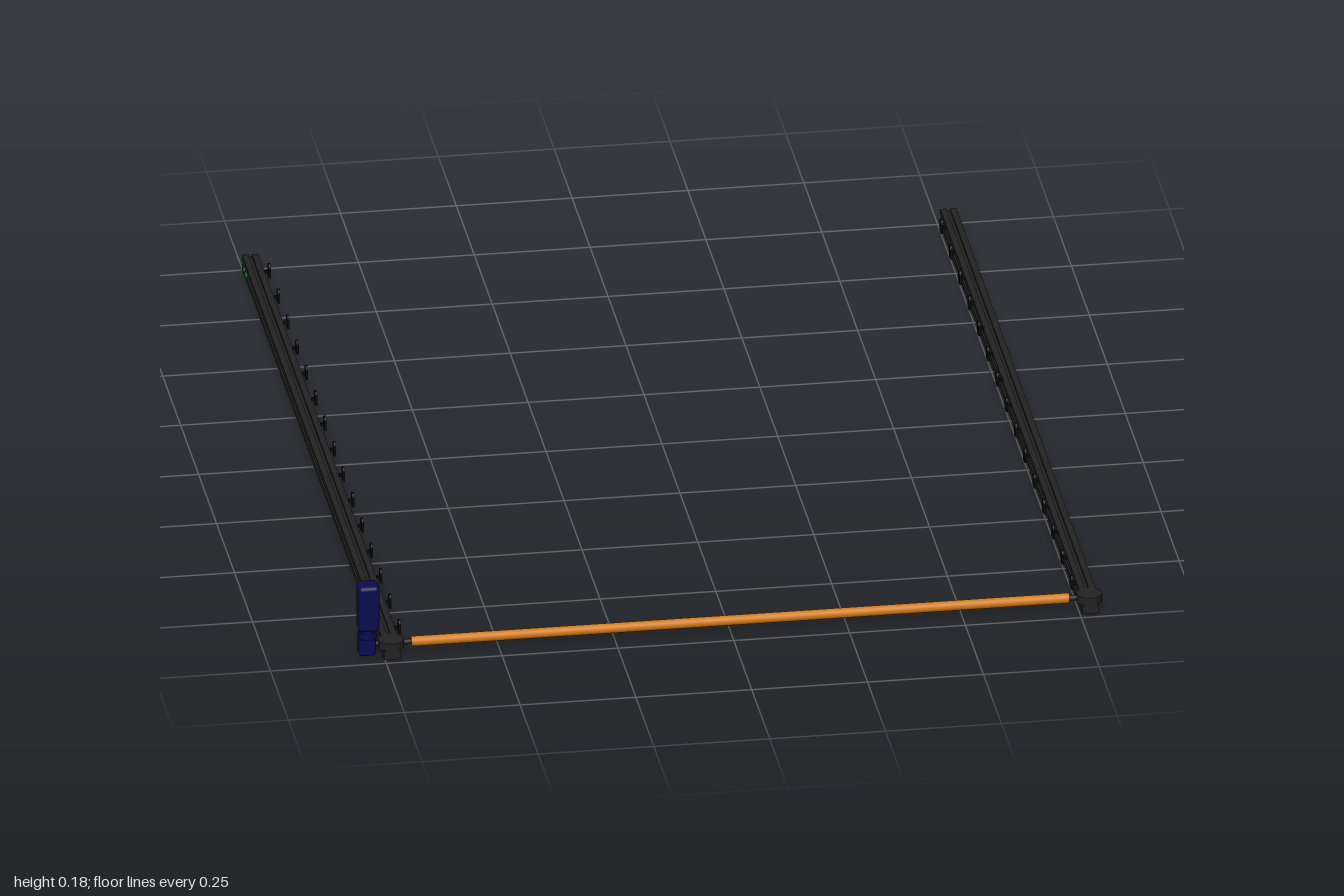
import * as THREE from 'three';
import { RoundedBoxGeometry } from 'three/addons/geometries/RoundedBoxGeometry.js';

const paint = (color) => new THREE.MeshStandardMaterial({ color });
const dark = paint(0x222222);
const black = paint(0x0c0c0c);
const navy = paint(0x0b0b50);
const orange = paint(0xd07a14);
const green = paint(0x0f6a20);

function add(parent, name, geometry, material, x = 0, y = 0, z = 0) {
  const mesh = new THREE.Mesh(geometry, material);
  mesh.name = name;
  mesh.position.set(x, y, z);
  parent.add(mesh);
  return mesh;
}

// Slotted rail cross-section, extruded along z
function railGeometry(length) {
  const s = new THREE.Shape();
  const w = 0.0175, h = 0.036;
  [[-w, 0], [w, 0], [w, 0.013], [w - 0.004, 0.015], [w - 0.004, 0.021], [w, 0.023], [w, h],
    [0.004, h], [0.003, h - 0.004], [-0.003, h - 0.004], [-0.004, h],
    [-w, h], [-w, 0.023], [0.004 - w, 0.021], [0.004 - w, 0.015], [-w, 0.013],
  ].forEach(([x, y], i) => (i ? s.lineTo(x, y) : s.moveTo(x, y)));
  return new THREE.ExtrudeGeometry(s, { depth: length, bevelEnabled: false });
}

// inner = +1 when the other rail lies toward +x
function buildRail(x, inner, name) {
  const rail = new THREE.Group();
  rail.name = name;
  rail.position.x = x;
  add(rail, 'railBeam', railGeometry(1.96), dark, 0, 0, -1);

  // Corner hub that carries the roller
  const hub = new THREE.CylinderGeometry(0.029, 0.029, 0.018, 8).rotateY(Math.PI / 8);
  add(rail, 'cornerHub', hub, dark, 0, 0.028, 0.957);
  add(rail, 'hubBase', new THREE.BoxGeometry(0.036, 0.02, 0.05), dark, 0, 0.01, 0.958);

  // Row of guide clips on the inner side
  const stem = new THREE.BoxGeometry(0.014, 0.006, 0.007);
  const plate = new THREE.BoxGeometry(0.005, 0.022, 0.018);
  const cap = new THREE.CylinderGeometry(0.009, 0.009, 0.005, 16).rotateZ(Math.PI / 2);
  for (let i = 0; i < 15; i++) {
    const z = -0.915 + i * 0.1293;
    add(rail, 'clipStem', stem, black, inner * 0.021, 0.033, z);
    add(rail, 'clipPlate', plate, black, inner * 0.028, 0.032, z);
    add(rail, 'clipCap', cap, black, inner * 0.028, 0.043, z);
  }

  // Fasteners near the rear end
  const bolt = new THREE.CylinderGeometry(0.007, 0.007, 0.005, 12).rotateZ(Math.PI / 2);
  for (const z of [-0.965, -0.938]) {
    add(rail, 'rearBolt', bolt, green, -inner * 0.0185, 0.018, z);
  }
  return rail;
}

// Upright drive motor
function buildMotor() {
  const motor = new THREE.Group();
  motor.name = 'driveMotor';
  motor.position.set(-0.786, 0, 0.966);
  add(motor, 'motorBody', new RoundedBoxGeometry(0.045, 0.105, 0.047, 3, 0.009), navy, 0, 0.127, 0.01);
  add(motor, 'motorNeck', new THREE.CylinderGeometry(0.017, 0.017, 0.03, 20), navy, 0, 0.065, 0.006);
  add(motor, 'motorCollar', new THREE.CylinderGeometry(0.02, 0.02, 0.012, 20), navy, 0, 0.06, 0.004);
  add(motor, 'gearbox', new RoundedBoxGeometry(0.036, 0.046, 0.036, 3, 0.006), navy, 0, 0.03, -0.008);
  const plug = new THREE.CylinderGeometry(0.009, 0.009, 0.024, 16).rotateX(Math.PI / 2);
  add(motor, 'cablePlug', plug, navy, 0, 0.102, -0.02);
  return motor;
}

export function createModel() {
  const model = new THREE.Group();
  model.name = 'trackFrame';
  model.add(buildRail(-0.734, 1, 'rightRail'));
  model.add(buildRail(0.773, -1, 'leftRail'));

  // Cross tube with the thin shaft that runs through it
  const tube = new THREE.CylinderGeometry(0.011, 0.011, 1.42, 24).rotateZ(Math.PI / 2);
  add(model, 'crossTube', tube, orange, 0.02, 0.028, 0.957);
  const shaft = new THREE.CylinderGeometry(0.006, 0.006, 1.57, 16).rotateZ(Math.PI / 2);
  add(model, 'driveShaft', shaft, dark, 0.01, 0.028, 0.957);

  model.add(buildMotor());
  return model;
}
